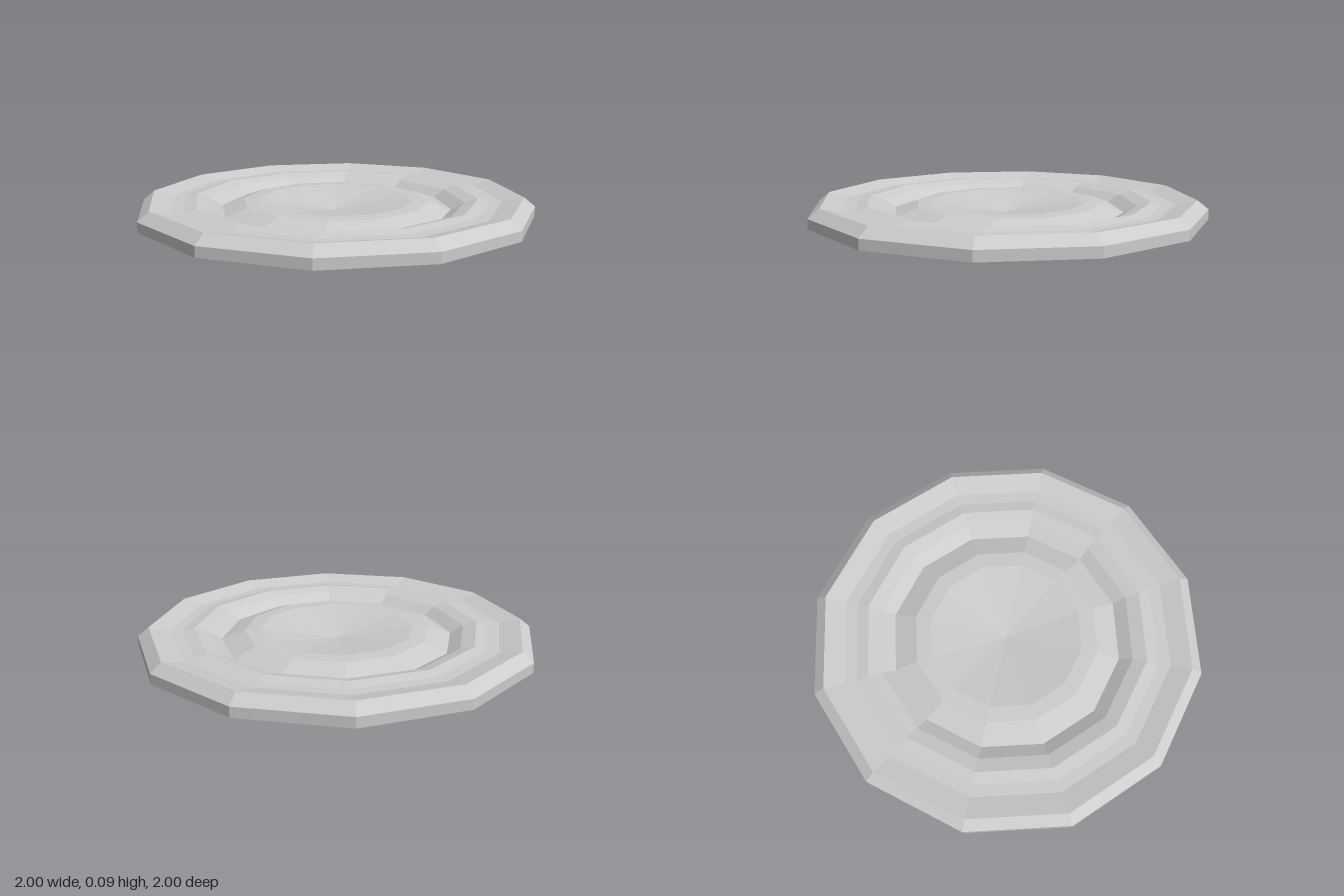
import * as THREE from 'three';

export function createModel() {
  const group = new THREE.Group();
  group.name = 'plate';

  const material = new THREE.MeshStandardMaterial({ color: 0xcccccc, flatShading: true });

  // Turned twelve-sided profile as [radius, height], from base centre to top centre
  const profile = [
    [0, 0], [1, 0], [1, 0.05], [0.945, 0.095],       // base, edge and outer bevel
    [0.84, 0.071], [0.78, 0.072],                    // shallow outer channel
    [0.72, 0.083], [0.65, 0.064], [0.585, 0.026],    // ridge and step into the groove
    [0.47, 0.066], [0.39, 0.07], [0, 0.015],         // inner ring and dished centre
  ].map(([r, y]) => new THREE.Vector2(r, y));

  const disc = new THREE.Mesh(new THREE.LatheGeometry(profile, 12), material);
  disc.name = 'steppedDisc';
  group.add(disc);

  return group;
}
